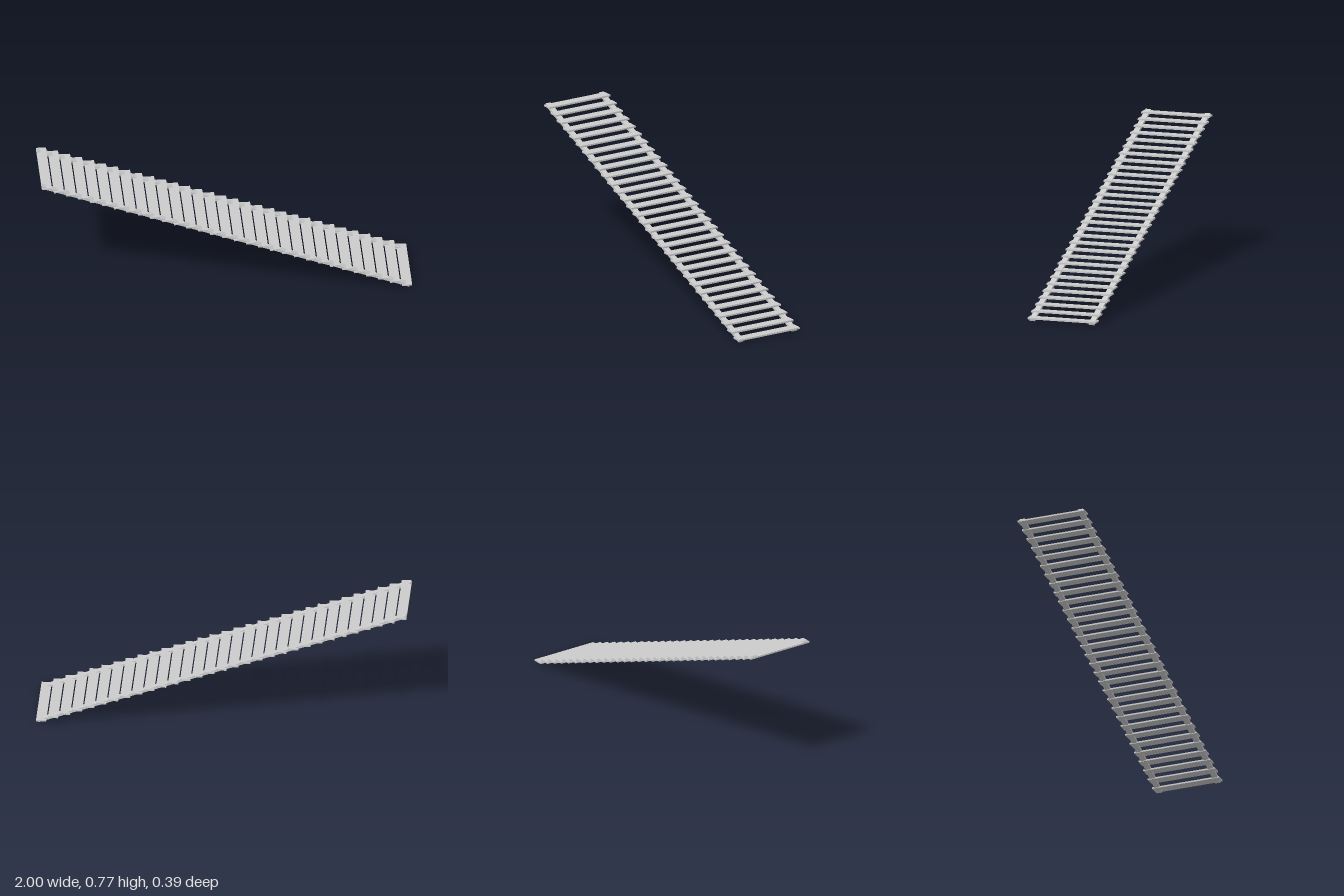
import * as THREE from 'three';

export function createModel() {
  const group = new THREE.Group();
  const material = new THREE.MeshStandardMaterial({ color: 0xcccccc, flatShading: true });

  const add = (name, size, position, tilt = 0) => {
    const mesh = new THREE.Mesh(new THREE.BoxGeometry(...size), material);
    mesh.name = name;
    mesh.position.set(...position);
    mesh.rotation.z = tilt;
    group.add(mesh);
  };

  const count = 31;
  const depth = 0.055;          // tread size along the run
  const run = 2 - depth;        // first to last tread centre
  const low = 0.0163, high = 0.7595;
  const slope = Math.atan2(high - low, run);

  // Level treads, climbing towards -x
  for (let i = 0; i < count; i++) {
    const t = i / (count - 1);
    add('tread', [depth, 0.009, 0.387], [-run / 2 + run * t, high + (low - high) * t, 0.001]);
  }

  // Two thin sloping stringers running through the treads
  for (const [name, z] of [['frontStringer', 0.171], ['backStringer', -0.165]]) {
    add(name, [1.985 / Math.cos(slope), 0.0135, 0.031], [-0.005, 0.3855, z], -slope);
  }

  return group;
}
